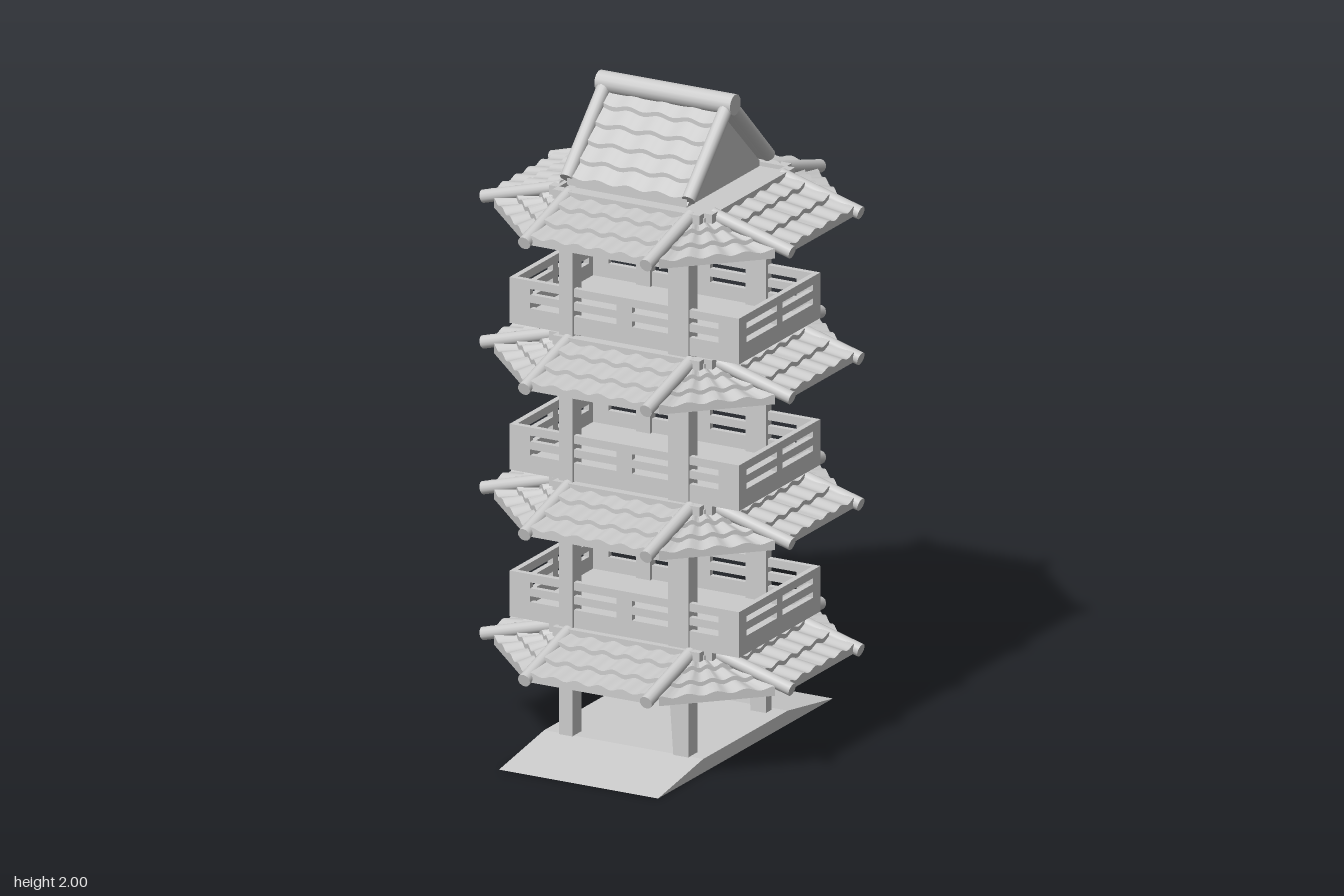
import * as THREE from 'three';
import { toCreasedNormals } from 'three/addons/utils/BufferGeometryUtils.js';

const mat = new THREE.MeshStandardMaterial({ color: 0xcccccc });
const thin = new THREE.MeshStandardMaterial({ color: 0xcccccc, side: THREE.DoubleSide });

function add(parent, name, geo, material = mat) {
  const m = new THREE.Mesh(geo, material);
  m.name = name;
  parent.add(m);
  return m;
}

// Box given by its min and max corners
function box(parent, name, [x0, y0, z0], [x1, y1, z1]) {
  const m = add(parent, name, new THREE.BoxGeometry(x1 - x0, y1 - y0, z1 - z0));
  m.position.set((x0 + x1) / 2, (y0 + y1) / 2, (z0 + z1) / 2);
  return m;
}

// Round pole between two points
function pole(parent, name, a, b, r) {
  const A = new THREE.Vector3(...a), B = new THREE.Vector3(...b);
  const dir = B.clone().sub(A);
  const m = add(parent, name, new THREE.CylinderGeometry(r, r, dir.length(), 14));
  m.position.copy(A).add(B).multiplyScalar(0.5);
  m.quaternion.setFromUnitVectors(new THREE.Vector3(0, 1, 0), dir.normalize());
  return m;
}

// Sheet spanned by rows of points, each row running along +x and rows running outward
function sheet(rows) {
  const n = rows[0].length, index = [];
  for (let j = 0; j < rows.length - 1; j++) {
    for (let i = 0; i < n - 1; i++) {
      const a = j * n + i, b = a + 1, c = a + n, d = c + 1;
      index.push(a, c, b, b, c, d);
    }
  }
  const g = new THREE.BufferGeometry();
  g.setAttribute('position', new THREE.Float32BufferAttribute(rows.flat(2), 3));
  g.setIndex(index);
  return toCreasedNormals(g, 0.6);
}

// Sloping panel of wavy overlapping tiles, falling towards local +z
function tiles(parent, name, { w0, w1, r0, r1, y0, y1, courses, waves = 5 }) {
  const N = waves * 8, rows = [];
  const row = (t, lift, flat) => {
    const w = THREE.MathUtils.lerp(w0, w1, t), pts = [];
    for (let i = 0; i <= N; i++) {
      const u = i / N;
      const wave = flat ? 0 : 0.005 * Math.cos(u * waves * Math.PI * 2);
      pts.push([(u * 2 - 1) * w, THREE.MathUtils.lerp(y0, y1, t) + lift + wave, THREE.MathUtils.lerp(r0, r1, t)]);
    }
    rows.push(pts);
  };
  for (let c = 0; c < courses; c++) {
    row(c / courses, 0);
    row((c + 1) / courses, 0.013);
  }
  // eave lip, then the flat underside back to the top edge
  row(1, -0.012, true);
  row(0, -0.012, true);
  return add(parent, name, sheet(rows), thin);
}

// Eight-sided tiled skirt roof with poles along the straight panels
function skirtRoof(y) {
  const roof = new THREE.Group();
  roof.name = 'skirtRoof';
  for (let k = 0; k < 4; k++) {
    const side = new THREE.Group();
    side.name = 'roofSide';
    side.rotation.y = k * Math.PI / 2;
    roof.add(side);
    tiles(side, 'tilePanel', { w0: 0.19, w1: 0.19, r0: 0.255, r1: 0.5, y0: 0.36, y1: 0.29, courses: 3 });
    for (const s of [-1, 1]) {
      pole(side, 'hipPole', [s * 0.203, 0.36, 0.25], [s * 0.203, 0.286, 0.515], 0.02);
    }
    box(side, 'topBeam', [-0.245, 0.345, 0.24], [0.245, 0.373, 0.272]);
    const corner = tiles(side, 'cornerTilePanel',
      { w0: 0.05, w1: 0.175, r0: 0.325, r1: 0.488, y0: 0.347, y1: 0.277, courses: 3, waves: 4 });
    corner.rotation.y = Math.PI / 4;
  }
  box(roof, 'ceiling', [-0.25, 0.345, -0.25], [0.25, 0.36, 0.25]);
  box(roof, 'lintel', [0.14, 0.285, -0.2], [0.185, 0.345, 0.21]);
  roof.position.y = y;
  return roof;
}

// Railing panel of length len with two rows of two slots, centred on local x
function railing(parent, len) {
  const h = 0.14, t = 0.018, e = len * 0.09, gap = len * 0.033;
  const s = new THREE.Shape();
  s.moveTo(-len / 2, 0).lineTo(len / 2, 0).lineTo(len / 2, h).lineTo(-len / 2, h).closePath();
  for (const y of [0.055, 0.097]) {
    for (const [a, b] of [[-len / 2 + e, -gap], [gap, len / 2 - e]]) {
      const slot = new THREE.Path();
      slot.moveTo(a, y).lineTo(a, y + 0.018).lineTo(b, y + 0.018).lineTo(b, y).closePath();
      s.holes.push(slot);
    }
  }
  return add(parent, 'railing', new THREE.ExtrudeGeometry(s, { depth: t, bevelEnabled: false }).translate(0, 0, -t));
}

// Balcony floor with railings on all four sides
function balcony(y) {
  const g = new THREE.Group();
  g.name = 'balcony';
  const W = 0.765, D = 0.48;
  for (let k = 0; k < 4; k++) {
    const long = k % 2 === 0;
    const r = railing(g, long ? W : D);
    r.rotation.y = k * Math.PI / 2;
    const d = (long ? D : W) / 2;
    r.position.set(Math.sin(r.rotation.y) * d, 0, Math.cos(r.rotation.y) * d);
  }
  box(g, 'balconyFloor', [-W / 2 + 0.01, 0, -D / 2 + 0.01], [W / 2 - 0.01, 0.012, D / 2 - 0.01]);
  g.position.set(-0.018, y, 0.01);
  return g;
}

export function createModel() {
  const model = new THREE.Group();
  model.name = 'pagoda';

  // Base slab with ramps to the front and back
  const ramp = new THREE.Shape();
  ramp.moveTo(-0.517, 0).lineTo(0.517, 0).lineTo(0.25, 0.042).lineTo(-0.25, 0.042).closePath();
  const base = add(model, 'base', new THREE.ExtrudeGeometry(ramp, { depth: 0.53, bevelEnabled: false }));
  base.rotation.y = Math.PI / 2;
  base.position.x = -0.285;

  // Four columns; the left pair is wider and tapers to the ground
  for (const [z0, z1] of [[0.205, 0.257], [-0.232, -0.2]]) {
    box(model, 'column', [-0.232, 0.03, z0], [-0.186, 1.7, z1]);
    box(model, 'column', [0.132, 0.28, z0], [0.2, 1.7, z1]);
    const foot = box(model, 'columnFoot', [0.132, 0.03, z0], [0.2, 0.28, z1]);
    const p = foot.geometry.attributes.position;
    for (let i = 0; i < p.count; i++) {
      if (p.getY(i) < 0 && p.getX(i) < 0) p.setX(i, p.getX(i) + 0.018);
    }
    foot.geometry.computeVertexNormals();
  }

  // Stacked roofs and balconies
  const step = 0.447;
  for (let i = 0; i < 4; i++) {
    model.add(skirtRoof(i * step));
    if (i < 3) model.add(balcony(0.372 + i * 0.45));
  }

  // Gabled top roof
  const gable = new THREE.Group();
  gable.name = 'gableRoof';
  gable.position.x = -0.015;
  model.add(gable);
  pole(gable, 'ridgePole', [-0.226, 1.968, 0], [0.226, 1.968, 0], 0.032);
  for (const s of [1, -1]) {
    const slope = tiles(gable, 'gableTiles',
      { w0: 0.2, w1: 0.2, r0: 0.01, r1: 0.238, y0: 1.95, y1: 1.735, courses: 5, waves: 4 });
    if (s < 0) slope.rotation.y = Math.PI;
    for (const x of [-0.203, 0.203]) {
      pole(gable, 'gableRafter', [x, 1.96, s * 0.012], [x, 1.742, s * 0.236], 0.021);
    }
  }
  const tri = new THREE.Shape();
  tri.moveTo(-0.215, 1.71).lineTo(0.215, 1.71).lineTo(0.215, 1.728).lineTo(0, 1.93).lineTo(-0.215, 1.728).closePath();
  const core = add(gable, 'gableWall', new THREE.ExtrudeGeometry(tri, { depth: 0.37, bevelEnabled: false }));
  core.rotation.y = Math.PI / 2;
  core.position.x = -0.185;

  return model;
}
